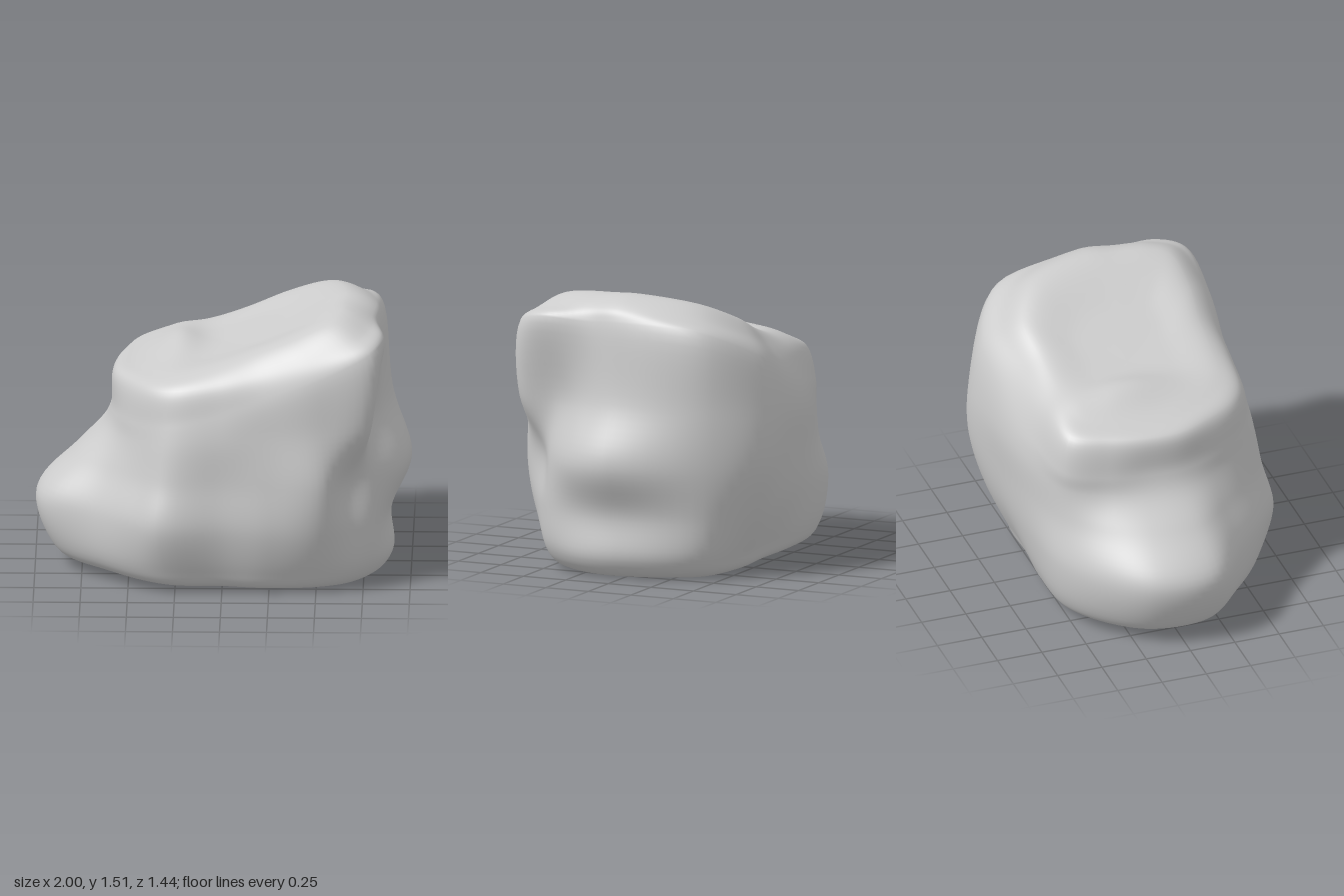
import * as THREE from 'three';
import { mergeVertices } from 'three/addons/utils/BufferGeometryUtils.js';

const COLUMNS = 126, ROWS = 88;

// Directions of the section points, in degrees from +x towards +z
const ANGLES = [0, 14, 28, 38, 52, 70, 90, 115, 130, 150, 170, 190, 208, 228, 255, 285, 308, 330];

// Slanted, slightly dished top and nearly flat underside
const topY = (x) => 1.21 + 0.3 * x + 0.16 * x * x;
const baseY = (x) => 0.035 - 0.03 * x;

// Radii of the main sections
const foot = [.87, .89, .87, .83, .74, .65, .60, .68, .71, .76, .89, .89, .81, .71, .57, .55, .67, .83];
const belly = [.89, .91, .92, .88, .85, .74, .68, .78, .77, .80, .98, .98, .88, .77, .64, .66, .81, .90];
const shelf = [1.0, .99, .92, .86, .88, .73, .66, .72, .70, .70, .79, .79, .76, .72, .65, .70, .89, .94];
const waist = [.90, .88, .88, 1.0, .85, .70, .65, .68, .66, .63, .64, .64, .66, .70, .65, .71, .89, .94];
const shoulder = [.85, .86, .97, 1.0, .83, .67, .62, .65, .64, .61, .60, .60, .64, .70, .62, .66, .82, .91];
const rim = [.81, .82, .88, .90, .76, .61, .57, .60, .60, .57, .58, .58, .60, .65, .54, .56, .71, .80];

// Closed smooth section: radii, scale, and height as a function of x
function section(radii, scale, height) {
  const points = radii.map((r, i) => {
    const a = THREE.MathUtils.degToRad(ANGLES[i]);
    const x = r * scale * Math.cos(a);
    return new THREE.Vector3(x, height(x), r * scale * Math.sin(a));
  });
  return new THREE.CatmullRomCurve3(points, true);
}

export function createModel() {
  // Sections from the middle of the underside to the middle of the top
  const sections = [
    section(foot, 0, baseY),
    section(foot, 0.55, baseY),
    section(foot, 0.93, baseY),
    section(foot, 1.03, (x) => 0.13 - 0.02 * x),
    section(belly, 1, (x) => 0.37 - 0.03 * x),
    section(shelf, 1, () => 0.62),
    section(waist, 1, (x) => 0.85 + 0.11 * x),
    section(shoulder, 1, (x) => topY(x) - 0.2),
    section(rim, 1, (x) => topY(x) - 0.05 - 0.07 * x),
    section(rim, 0.8, (x) => topY(x) + 0.025 + 0.02 * x),
    section(rim, 0.4, (x) => topY(x) + 0.02 + 0.02 * x),
    section(rim, 0, (x) => topY(x) + 0.015),
  ];

  const positions = [], index = [];
  for (let c = 0; c < COLUMNS; c++) {
    const rib = new THREE.CatmullRomCurve3(sections.map((s) => s.getPoint(c / COLUMNS)));
    for (let r = 0; r <= ROWS; r++) {
      const p = rib.getPoint(r / ROWS);
      // Low knoll across the top
      const knoll = Math.exp(-((p.x + 0.24) ** 2 / 0.015 + (p.z + 0.1) ** 2 / 0.09));
      if (p.y > 0.9) p.y += 0.07 * knoll;
      positions.push(p.x, Math.max(p.y, 0), p.z);
      if (r < ROWS) {
        const a = c * (ROWS + 1) + r;
        const b = ((c + 1) % COLUMNS) * (ROWS + 1) + r;
        // One triangle instead of two at either pole
        if (r < ROWS - 1) index.push(a, a + 1, b + 1);
        if (r > 0) index.push(a, b + 1, b);
      }
    }
  }
  let geometry = new THREE.BufferGeometry();
  geometry.setAttribute('position', new THREE.Float32BufferAttribute(positions, 3));
  geometry.setIndex(index);
  geometry = mergeVertices(geometry, 1e-5);
  geometry.computeVertexNormals();

  const boulder = new THREE.Mesh(geometry, new THREE.MeshStandardMaterial({ color: 0xcccccc }));
  boulder.name = 'boulder';
  const group = new THREE.Group();
  group.name = 'rock';
  group.add(boulder);
  return group;
}
